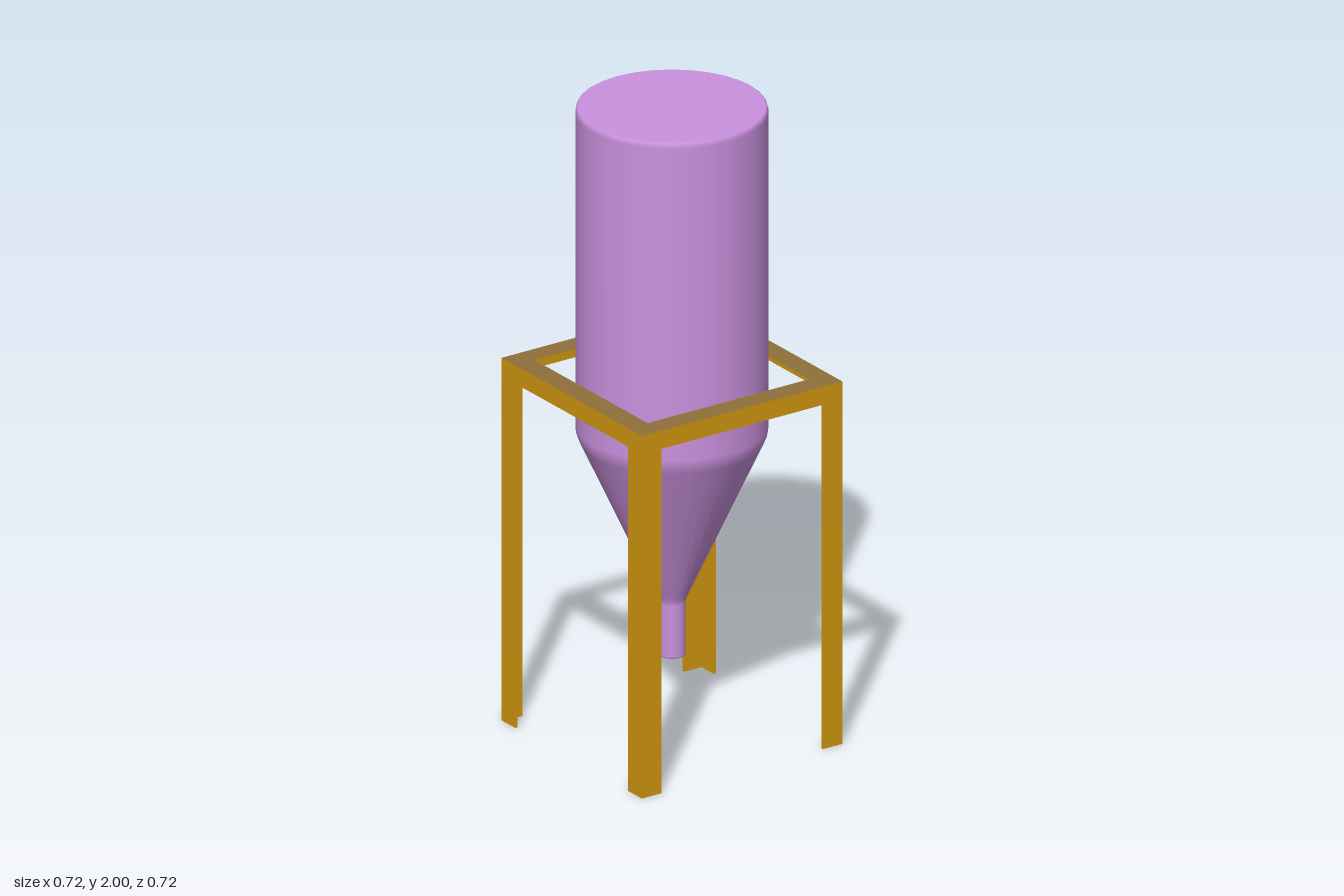
import * as THREE from 'three';

const OUT = 0.36;    // half width of the stand
const IN = 0.29;     // half width of the opening
const T = 0.008;     // steel thickness
const TOP = 1.158;   // top of the stand

export function createModel() {
  const model = new THREE.Group();
  const purple = new THREE.MeshStandardMaterial({ name: 'tank purple', color: 0xca91de });
  const gold = new THREE.MeshStandardMaterial({ name: 'steel gold', color: 0xd0970e });
  const brown = new THREE.MeshStandardMaterial({ name: 'ledge brown', color: 0x91703a });

  // Tank: outlet pipe, cone and cylinder in one profile, with tight edge loops
  const profile = [
    [0, 0.25], [0.038, 0.25], [0.04, 0.252], [0.04, 0.255], [0.04, 0.42],
    [0.043, 0.433], [0.052, 0.453], [0.272, 0.938], [0.283, 0.963], [0.284, 0.985],
    [0.284, 1.98], [0.284, 1.99], [0.281, 1.998], [0.276, 2], [0, 2],
  ].map(([r, y]) => new THREE.Vector2(r, y));
  const tank = new THREE.Mesh(new THREE.LatheGeometry(profile, 32), purple);
  tank.name = 'tank';
  model.add(tank);

  const stand = new THREE.Group();
  stand.name = 'stand';
  model.add(stand);

  // Box given by its lower and upper corners
  const plate = (parent, name, a, b) => {
    const size = b.map((v, i) => v - a[i]);
    const mesh = new THREE.Mesh(new THREE.BoxGeometry(...size), gold);
    mesh.position.set(...a.map((v, i) => (v + b[i]) / 2));
    mesh.name = name;
    parent.add(mesh);
  };

  // Four sides, each with an angle-iron leg and the upright web of a rail
  const under = TOP - T;
  for (let i = 0; i < 4; i++) {
    const side = new THREE.Group();
    side.name = 'standSide';
    side.rotation.y = i * Math.PI / 2;
    plate(side, 'legFrontFlange', [IN, 0, OUT - T], [OUT, under, OUT]);
    plate(side, 'legSideFlange', [OUT - T, 0, IN], [OUT, under, OUT - T]);
    plate(side, 'railWeb', [-IN, 1.1, OUT - T], [IN, under, OUT]);
    stand.add(side);
  }

  // Flat ledge around the tank, with a thin coloured upper face
  const square = (Kind, h) => new Kind([[-h, -h], [h, -h], [h, h], [-h, h]]
    .map(([x, y]) => new THREE.Vector2(x, y)));
  const ring = (name, y, depth, material) => {
    const shape = square(THREE.Shape, OUT);
    shape.holes.push(square(THREE.Path, IN));
    const geometry = new THREE.ExtrudeGeometry(shape, { depth, bevelEnabled: false });
    geometry.rotateX(-Math.PI / 2);
    const mesh = new THREE.Mesh(geometry, material);
    mesh.position.y = y;
    mesh.name = name;
    stand.add(mesh);
  };
  ring('railLedge', under, T - 0.002, gold);
  ring('railLedgeTop', TOP - 0.002, 0.002, [brown, gold]);

  return model;
}
